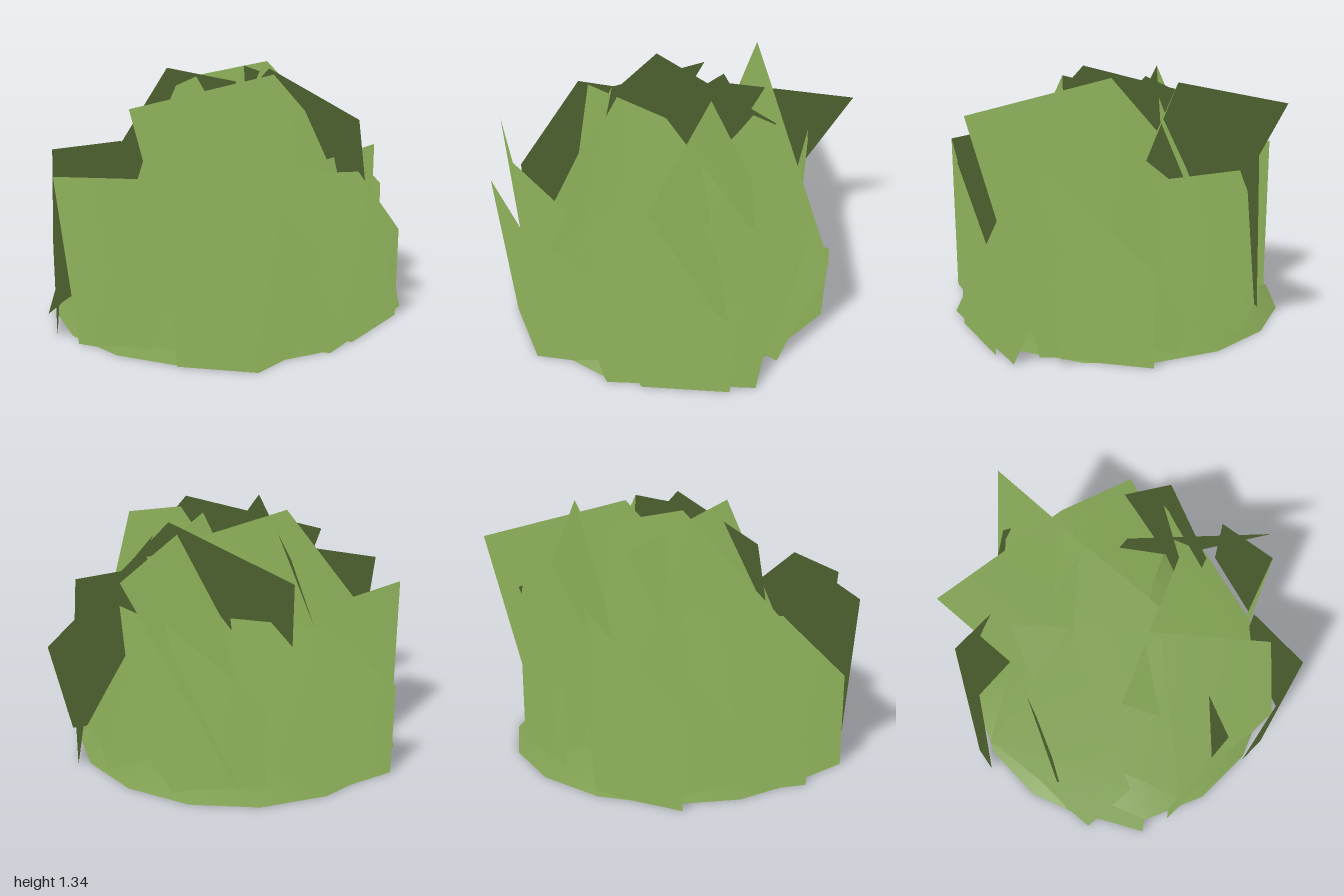
import * as THREE from 'three';

const leafMaterial = new THREE.MeshStandardMaterial({ color: 0x7d9c4f, side: THREE.DoubleSide });

// Leaf card outline, bent at the middle: [along, height, outward] measured from the peak.
// Order: bottom left, bottom middle, bottom right, right shoulder, peak, left corner.
const outerCard = [[-0.4, 0, -0.03], [0, 0, 0], [0.28, 0, -0.38], [0.28, 0.5, -0.38], [0, 0.91, 0], [-0.49, 0.89, 0]];
const innerCard = [[-0.44, 0, 0.47], [0.25, 0, 0.57], [0.745, 0, -0.055], [0.63, 0.61, -0.3], [0, 1.34, 0], [-0.77, 1.16, 0]];

// Each placement: left corner x, z and peak x, z
const outerPlaces = [
  [-0.17, 0.985, 0.32, 0.95],
  [-0.74, 0.785, -0.25, 0.84],
  [0.27, 0.575, 0.75, 0.5],
  [0.55, 0.19, 0.815, -0.22],
  [0.43, -0.53, 0.04, -0.84],
  [-0.19, -0.57, -0.67, -0.63],
  [-0.66, -0.16, -0.94, 0.24],
];
const innerPlaces = [
  [-0.47, 0.32, 0.28, 0.155],
  [-0.555, -0.79, 0.16, -0.49],
  [0.235, -1, 0.06, -0.23],
  [0.74, 0.44, 0.22, -0.12],
  [-0.45, -0.39, -0.11, 0.30],
  [0.30, -0.47, -0.35, -0.05],
];

// One leaf card, set along the line from its left corner to its peak
function leafCard(name, outline, [lx, lz, px, pz]) {
  const length = Math.hypot(px - lx, pz - lz);
  const rx = (px - lx) / length, rz = (pz - lz) / length;
  const positions = outline.flatMap(([along, height, out]) =>
    [px + rx * along - rz * out, height, pz + rz * along + rx * out]);
  const geometry = new THREE.BufferGeometry();
  geometry.setAttribute('position', new THREE.Float32BufferAttribute(positions, 3));
  geometry.setIndex([0, 1, 4, 0, 4, 5, 1, 2, 3, 1, 3, 4]);
  geometry.computeVertexNormals();
  // foliage shading: tip the smooth normals mostly upward
  const normal = geometry.attributes.normal;
  for (let i = 0; i < normal.count; i++) {
    normal.setXYZ(i, normal.getX(i) * 0.1, 1, normal.getZ(i) * 0.1);
  }
  geometry.normalizeNormals();
  const mesh = new THREE.Mesh(geometry, leafMaterial);
  mesh.name = name;
  return mesh;
}

export function createModel() {
  const model = new THREE.Group();
  model.name = 'bush';

  // Low mound under the leaves
  const mound = new THREE.Mesh(
    new THREE.LatheGeometry([[0.92, 0], [0.6, 0.14], [0, 0.2]].map(([r, y]) => new THREE.Vector2(r, y)), 16),
    leafMaterial);
  mound.name = 'groundMound';
  mound.position.set(-0.06, 0, 0.02);
  model.add(mound);

  // Short leaf cards around the rim
  const outer = new THREE.Group();
  outer.name = 'outerLeaves';
  for (const place of outerPlaces) outer.add(leafCard('outerLeafCard', outerCard, place));

  // Tall leaf cards leaning over the middle
  const inner = new THREE.Group();
  inner.name = 'innerLeaves';
  for (const place of innerPlaces) inner.add(leafCard('innerLeafCard', innerCard, place));

  model.add(outer, inner);
  return model;
}
